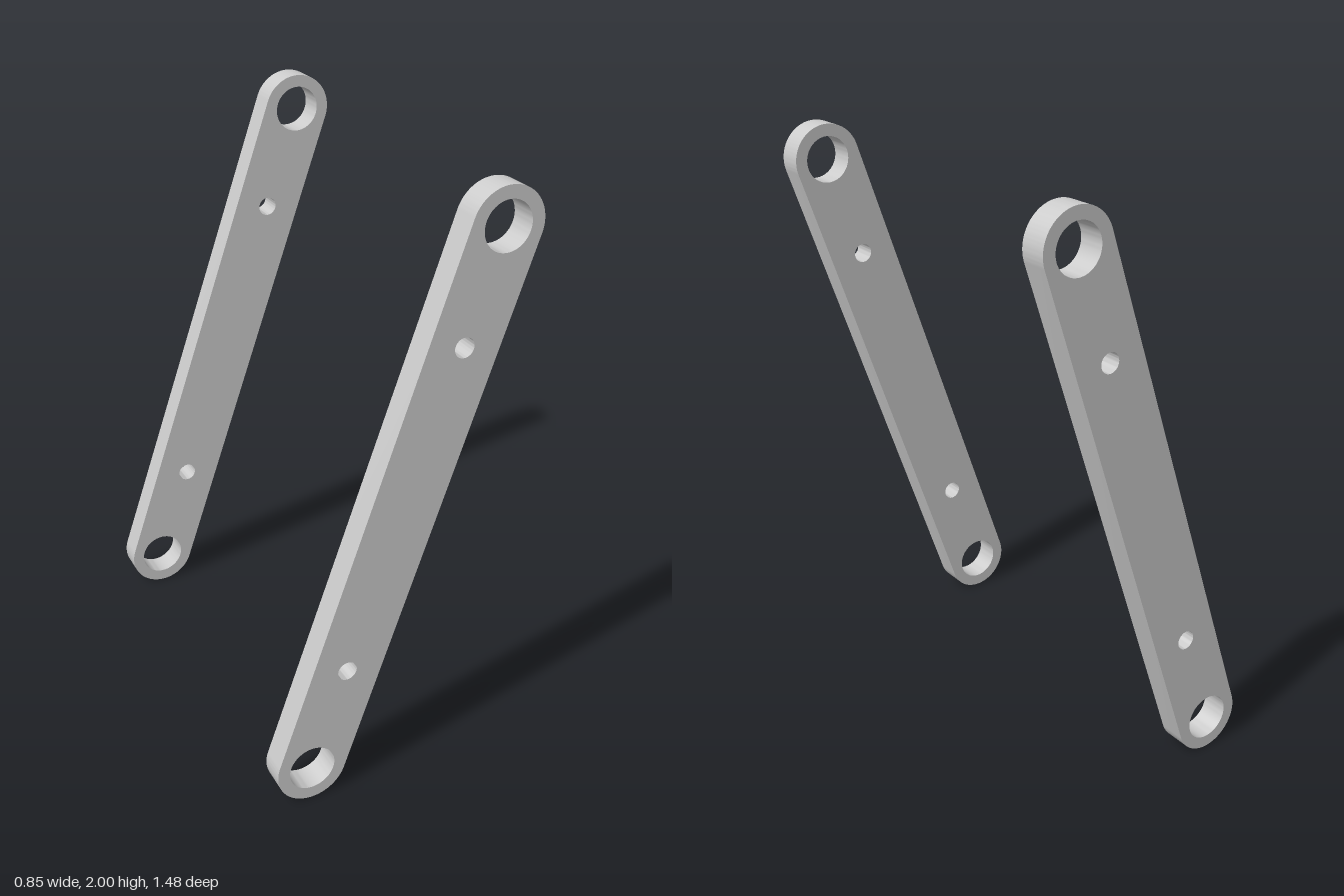
import * as THREE from 'three';
import { toCreasedNormals } from 'three/addons/utils/BufferGeometryUtils.js';

const HALF_LENGTH = 0.929; // bar centre to end hole centre
const RADIUS = 0.122;      // rounded end radius
const THICKNESS = 0.092;
const INNER_Z = 0.648;
const TILT = Math.atan2(0.303, 0.878);

function circleHole(y, radius) {
  return new THREE.Path().absarc(0, y, radius, 0, Math.PI * 2, true);
}

// Stadium-shaped link with two bearing holes and two small bolt holes
function linkGeometry() {
  const shape = new THREE.Shape();
  shape.absarc(0, HALF_LENGTH, RADIUS, 0, Math.PI, false);
  shape.absarc(0, -HALF_LENGTH, RADIUS, Math.PI, Math.PI * 2, false);
  shape.closePath();
  for (const side of [1, -1]) {
    shape.holes.push(circleHole(side * HALF_LENGTH, 0.08));
    shape.holes.push(circleHole(side * 0.556, 0.033));
  }
  const geometry = new THREE.ExtrudeGeometry(shape, {
    depth: THICKNESS, bevelEnabled: false, curveSegments: 32,
  });
  geometry.translate(0, 0, -THICKNESS / 2);
  return toCreasedNormals(geometry, Math.PI / 6);
}

export function createModel() {
  const group = new THREE.Group();
  group.name = 'linkArmPair';
  const geometry = linkGeometry();
  const material = new THREE.MeshStandardMaterial({ color: 0xcccccc });

  // Two parallel tilted arms, front and back
  for (const [name, side] of [['frontArm', 1], ['backArm', -1]]) {
    const arm = new THREE.Mesh(geometry, material);
    arm.name = name;
    arm.position.set(0, 1, side * (INNER_Z + THICKNESS / 2));
    arm.rotation.z = -TILT;
    group.add(arm);
  }
  return group;
}
